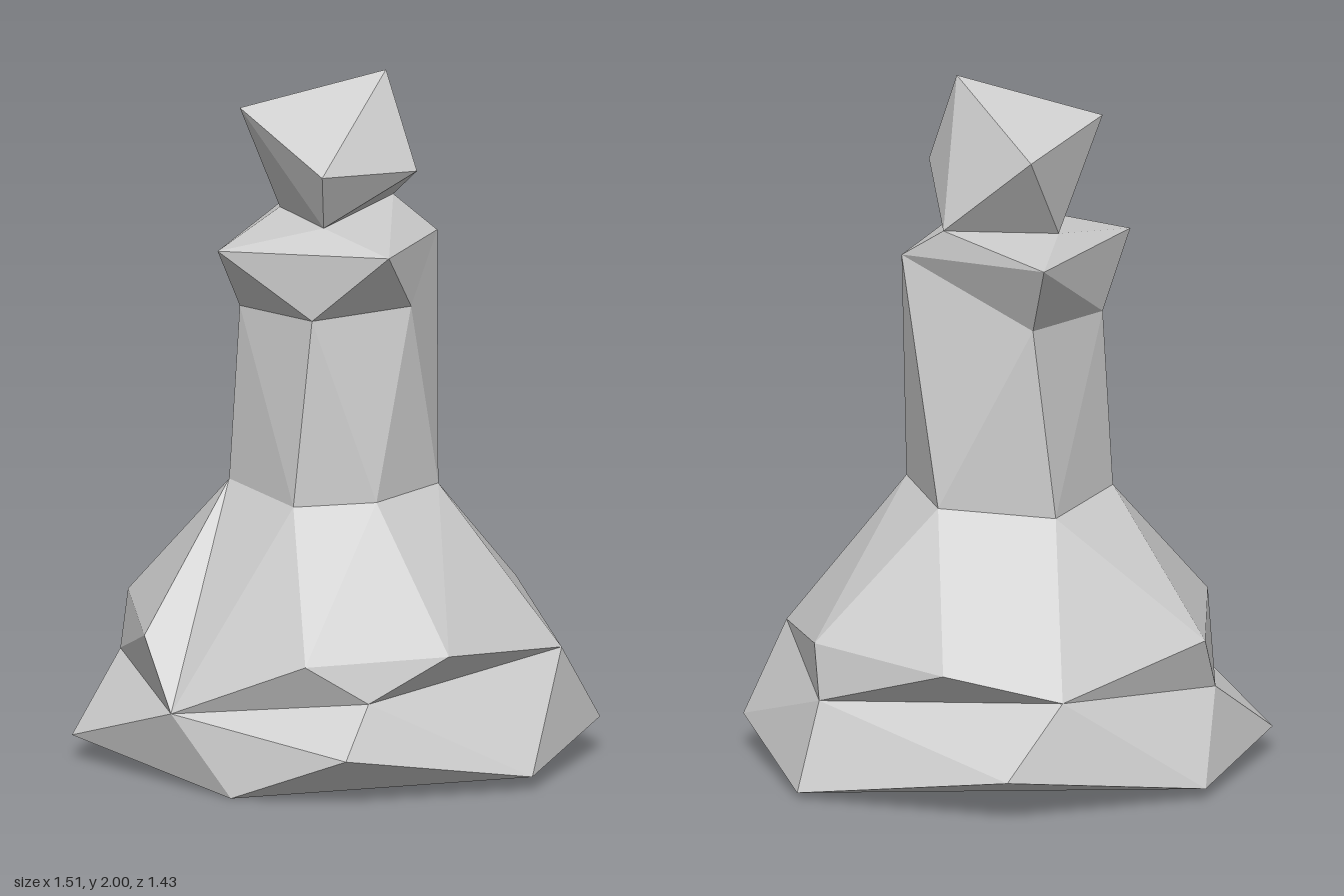
import * as THREE from 'three';
import { ConvexGeometry } from 'three/addons/geometries/ConvexGeometry.js';

const ring = (...pts) => pts.map((p) => new THREE.Vector3(...p));

// Irregular rings, each running from +x towards +z
const foot = ring([0.755, 0.04, 0.135], [0.46, 0.14, 0.64], [0.11, 0, 0.715], [-0.55, 0.07, 0.57],
  [-0.76, 0.03, 0.03], [-0.51, 0.12, -0.55], [0.135, 0.015, -0.72], [0.62, 0.1, -0.39]);
const waist = ring([0.62, 0.34, -0.2], [0.44, 0.28, 0.5], [-0.1, 0.22, 0.715],
  [-0.6, 0.26, 0.26], [-0.53, 0.315, -0.33], [0.155, 0.26, -0.6]);
const bulges = ring([0.58, 0.4, 0.3], [0.3, 0.39, 0.615], [-0.25, 0.415, 0.635],
  [-0.63, 0.415, 0.18], [-0.26, 0.39, -0.54], [0.19, 0.42, -0.58]);
const neckBase = ring([0.28, 0.8, -0.07], [0.255, 0.79, 0.2], [0.07, 0.78, 0.35],
  [-0.24, 0.8, 0.23], [-0.29, 0.77, -0.08], [-0.01, 0.79, -0.27]);
const throat = ring([0.17, 1.5, -0.22], [0.27, 1.34, 0.05], [0.1, 1.32, 0.3],
  [-0.21, 1.31, 0.22], [-0.23, 1.32, -0.11]);
const rim = ring([0.17, 1.5, -0.22], [0.32, 1.52, 0.23], [-0.16, 1.51, 0.4], [-0.34, 1.53, -0.19]);
const nape = ring([0.03, 1.59, -0.2], [0.07, 1.57, 0.2], [-0.19, 1.57, 0.05]);
const crown = ring([0.125, 2, -0.03], [-0.21, 1.89, 0.22], [0.125, 1.74, 0.285],
  [0.255, 1.725, 0], [-0.24, 1.82, -0.13]);

// Stitch two rings of different counts, keeping the outermost (convex) diagonal
function loft(lower, upper) {
  const tris = [];
  const n = lower.length, m = upper.length;
  const reach = (a, b) => Math.hypot(a.x + b.x, a.z + b.z);
  let i = 0, j = 0;
  while (i < n || j < m) {
    const a = lower[i % n], b = upper[j % m];
    const a2 = lower[(i + 1) % n], b2 = upper[(j + 1) % m];
    const stepLower = j >= m || (i < n && reach(a2, b) >= reach(a, b2));
    const tri = stepLower ? [a, b, a2] : [a, b, b2];
    const area = new THREE.Triangle(...tri).getArea();
    if (area > 1e-6) tris.push(...tri);
    if (stepLower) i++; else j++;
  }
  return tris;
}

// Underside: the low corners form a flat centre, the raised ones fold up from it
function underside(p) {
  const tris = [p[0], p[2], p[4], p[0], p[4], p[6]];
  for (let i = 0; i < p.length; i += 2) tris.push(p[i], p[i + 1], p[(i + 2) % p.length]);
  return tris;
}

export function createModel() {
  const group = new THREE.Group();
  const material = new THREE.MeshStandardMaterial({ color: 0xcccccc, flatShading: true });

  const add = (name, geometry) => {
    geometry.computeVertexNormals();
    const mesh = new THREE.Mesh(geometry, material);
    mesh.name = name;
    group.add(mesh);
  };
  const addFaces = (name, points) => add(name, new THREE.BufferGeometry().setFromPoints(points));

  // Foot with its underside
  addFaces('foot', [...underside(foot), ...loft(foot, waist)]);

  // Overhanging facets, then the slope; every second waist corner reaches the slope
  const facets = [];
  const shoulder = [];
  waist.forEach((w, i) => {
    facets.push(w, bulges[i], waist[(i + 1) % 6]);
    if (i % 2) facets.push(w, bulges[i - 1], bulges[i]);
    else shoulder.push(w, bulges[i], bulges[i + 1]);
  });
  addFaces('body', [...facets, ...loft(shoulder, neckBase)]);

  // Neck, flared collar and faceted head
  addFaces('neck', loft(neckBase, throat));
  addFaces('collar', [...loft(throat, rim), ...loft(rim, nape)]);
  add('head', new ConvexGeometry([...crown, ...nape]));

  return group;
}
